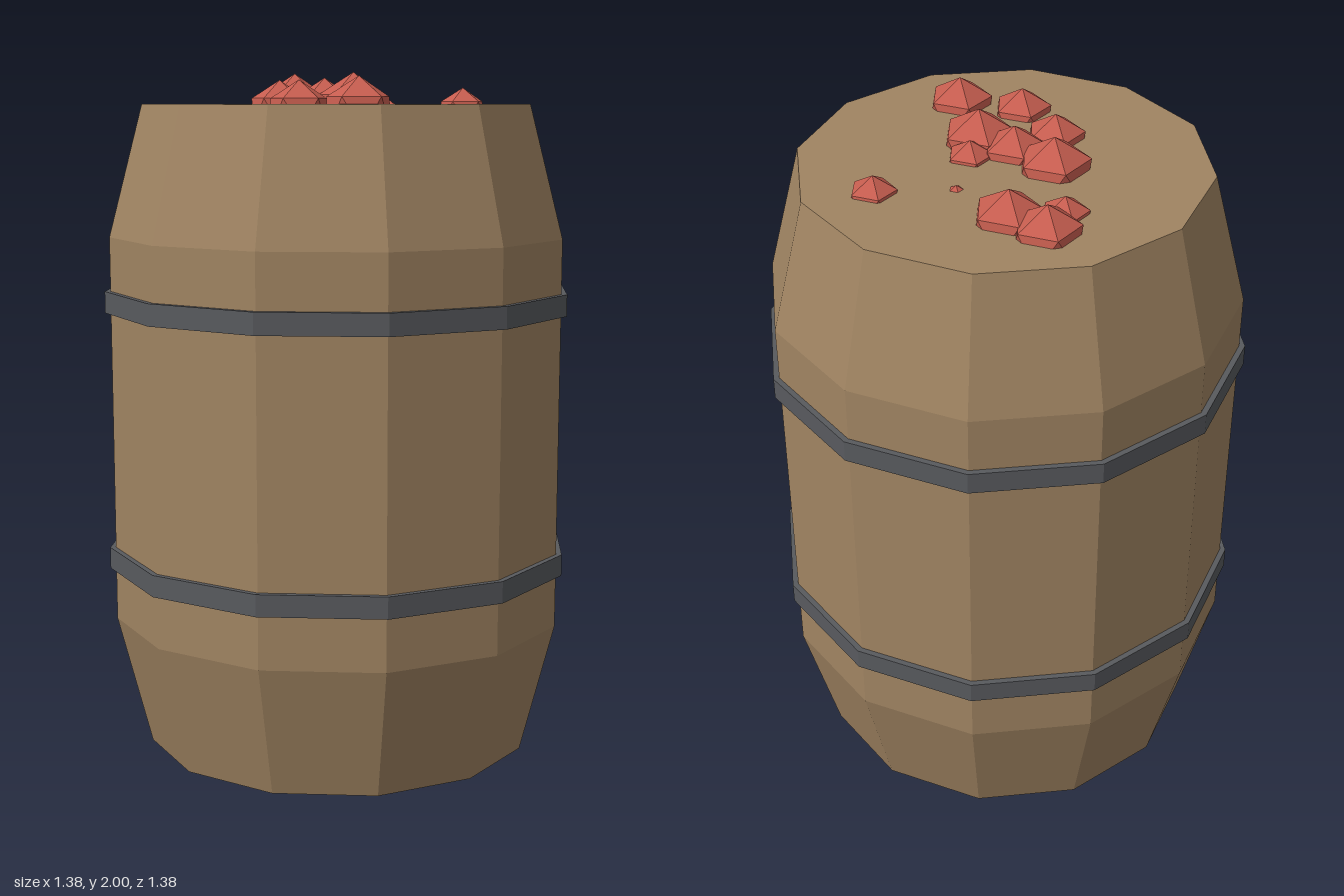
import * as THREE from 'three';

const SIDES = 12;

function material(name, color) {
  const m = new THREE.MeshStandardMaterial({ color, flatShading: true });
  m.name = name;
  return m;
}

// Faceted solid of revolution from [radius, height] pairs, listed bottom to top
function turned(name, profile, mat) {
  const points = profile.map(([r, y]) => new THREE.Vector2(r, y));
  const mesh = new THREE.Mesh(new THREE.LatheGeometry(points, SIDES), mat);
  mesh.name = name;
  return mesh;
}

export function createModel() {
  const wood = material('wood', 0xa08462);
  const iron = material('iron', 0x585a5e);
  const gemRed = material('gemRed', 0xc65d4f);

  const group = new THREE.Group();
  group.name = 'gemBarrel';

  // Barrel body with closed top and bottom
  group.add(turned('barrelBody', [
    [0, 0], [0.575, 0], [0.675, 0.39], [0.675, 1.53], [0.575, 1.91], [0, 1.91],
  ], wood));

  // Iron hoops
  for (const [name, y] of [['lowerHoop', 0.545], ['upperHoop', 1.31]]) {
    group.add(turned(name, [
      [0.67, y], [0.692, y], [0.692, y + 0.063], [0.67, y + 0.063],
    ], iron));
  }

  // Gems: icosahedra standing on a point, half sunk into the lid
  const gemGeometry = new THREE.IcosahedronGeometry(1, 0);
  gemGeometry.rotateZ(-Math.atan(2 / (1 + Math.sqrt(5))));
  const gems = new THREE.Group();
  gems.name = 'gems';
  // x, z, radius
  const places = [
    [-0.31, -0.22, 0.103], [-0.19, -0.225, 0.108], [-0.29, -0.115, 0.073],
    [0.175, -0.34, 0.073], [0.01, -0.195, 0.037],
    [-0.12, 0.065, 0.113], [0.02, 0.07, 0.1], [0.095, -0.03, 0.073],
    [0.14, 0.065, 0.115], [0.32, 0.205, 0.102],
    [-0.02, 0.205, 0.093], [0.15, 0.275, 0.092],
  ];
  places.forEach(([x, z, r], i) => {
    const gem = new THREE.Mesh(gemGeometry, gemRed);
    gem.name = `gem${i + 1}`;
    gem.position.set(x, 1.885, z);
    gem.scale.setScalar(r);
    gems.add(gem);
  });
  group.add(gems);

  return group;
}
